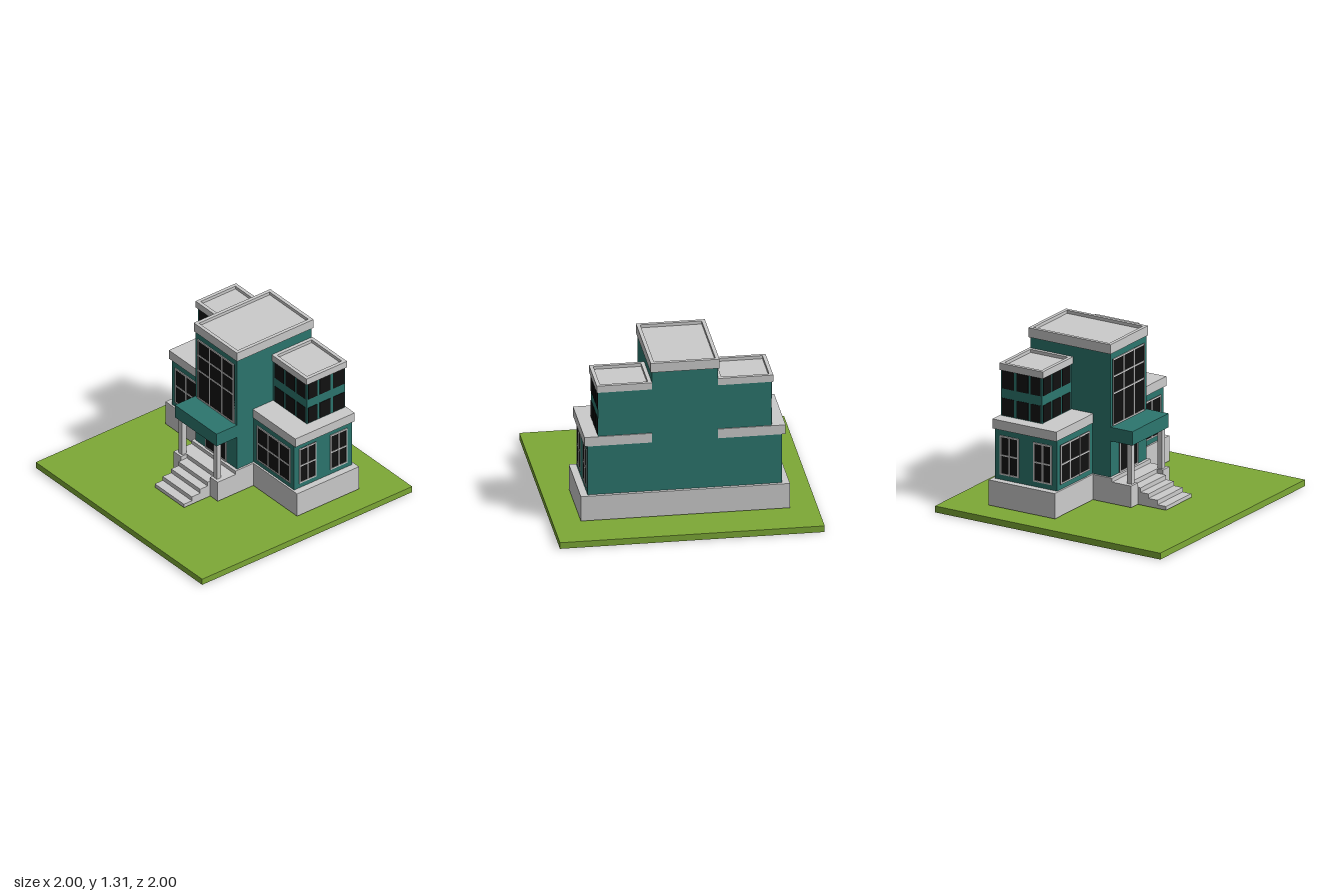
import * as THREE from 'three';

const mat = (color) => new THREE.MeshStandardMaterial({ color });
const STONE = mat(0xcccccc);
const WALL = mat(0x2c766e);
const GLASS = mat(0x111111);
const GRASS = mat(0x7da936);

// Box given by its extents along each axis
function box(parent, name, material, [x0, x1], [y0, y1], [z0, z1]) {
  const mesh = new THREE.Mesh(new THREE.BoxGeometry(x1 - x0, y1 - y0, z1 - z0), material);
  mesh.position.set((x0 + x1) / 2, (y0 + y1) / 2, (z0 + z1) / 2);
  mesh.name = name;
  parent.add(mesh);
  return mesh;
}

// Roof slab with a raised rim around a shallow recess
function parapet(parent, name, [x0, x1], [y0, y1], [z0, z1], rim = 0.028, depth = 0.025) {
  const rect = (target, a, b, c, d) => target.moveTo(a, c).lineTo(b, c).lineTo(b, d).lineTo(a, d).closePath();
  const shape = rect(new THREE.Shape(), x0, x1, -z1, -z0);
  shape.holes.push(rect(new THREE.Path(), x0 + rim, x1 - rim, -z1 + rim, -z0 - rim));
  const geometry = new THREE.ExtrudeGeometry(shape, { depth: y1 - y0, bevelEnabled: false });
  geometry.rotateX(-Math.PI / 2);
  const mesh = new THREE.Mesh(geometry, STONE);
  mesh.position.y = y0;
  mesh.name = name;
  parent.add(mesh);
  box(parent, name + 'Deck', STONE, [x0 + rim, x1 - rim], [y0, y1 - depth], [z0 + rim, z1 - rim]);
}

// Framed window facing local +z, with mullions at the given inner offsets
function framedWindow(parent, name, w, h, verticals, horizontals, position, turn = 0) {
  const group = new THREE.Group();
  group.name = name;
  const t = 0.006;
  box(group, 'pane', GLASS, [-w / 2, w / 2], [-h / 2, h / 2], [-0.01, 0.003]);
  for (const x of [-w / 2 + t, ...verticals, w / 2 - t])
    box(group, 'mullion', STONE, [x - t, x + t], [-h / 2, h / 2], [-0.01, 0.007]);
  for (const y of [-h / 2 + t, ...horizontals, h / 2 - t])
    box(group, 'transom', STONE, [-w / 2, w / 2], [y - t, y + t], [-0.01, 0.0065]);
  group.position.set(...position);
  group.rotation.y = turn;
  parent.add(group);
}

export function createModel() {
  const model = new THREE.Group();
  model.name = 'building';

  // Lawn and stone base
  box(model, 'lawn', GRASS, [-1, 1], [0, 0.05], [-1, 1]);
  box(model, 'plinth', STONE, [-0.79, 0.79], [0.06, 0.26], [-0.66, -0.07]);
  box(model, 'porchPlinth', STONE, [-0.265, 0.265], [0.06, 0.26], [-0.1, 0.1]);

  // Entrance steps
  [0.52, 0.445, 0.365, 0.295, 0.215].forEach((front, i) =>
    box(model, 'step', STONE, [-0.175, 0.175], [0.06, 0.09 + i * 0.035], [0.09, front]));

  // Central tower with its roof, tall window and canopy
  box(model, 'tower', WALL, [-0.25, 0.25], [0.26, 1.24], [-0.635, 0.075]);
  parapet(model, 'towerRoof', [-0.26, 0.26], [1.235, 1.31], [-0.647, 0.082]);
  framedWindow(model, 'towerWindow', 0.44, 0.53, [-0.073, 0.073], [-0.01, 0.125], [0, 0.92, 0.075]);
  box(model, 'canopy', WALL, [-0.25, 0.25], [0.545, 0.655], [0.07, 0.27]);

  // Double door
  framedWindow(model, 'door', 0.255, 0.285, [0], [], [0, 0.4025, 0.075]);

  for (const s of [-1, 1]) {
    const side = s > 0 ? 'left' : 'right';
    const span = (a, b) => (s > 0 ? [a, b] : [-b, -a]);

    // Porch pier, column and door handle
    box(model, side + 'Pier', STONE, span(0.175, 0.265), [0.06, 0.23], [0.09, 0.27]);
    box(model, side + 'Column', STONE, span(0.188, 0.23), [0.23, 0.545], [0.21, 0.25]);
    box(model, side + 'Handle', STONE, span(0.01, 0.02), [0.36, 0.39], [0.075, 0.09]);

    // Lower wing
    box(model, side + 'Wing', WALL, span(0.24, 0.735), [0.26, 0.67], [-0.635, -0.085]);
    box(model, side + 'WingRoof', STONE, span(0.25, 0.76), [0.66, 0.735], [-0.643, -0.077]);
    framedWindow(model, side + 'FrontWindow', 0.4, 0.31, [-0.067, 0.067], [0], [s * 0.495, 0.455, -0.085]);
    for (const z of [-0.213, -0.508])
      framedWindow(model, side + 'SideWindow', 0.165, 0.31, [0], [0], [s * 0.735, 0.455, z], s * Math.PI / 2);

    // Upper storey
    box(model, side + 'UpperStorey', WALL, span(0.24, 0.655), [0.73, 1.11], [-0.635, -0.27]);
    parapet(model, side + 'UpperRoof', span(0.25, 0.667), [1.095, 1.15], [-0.643, -0.257]);

    // Two rows of plain windows on the front and outer side
    for (const rows of [[0.74, 0.875], [0.95, 1.09]]) {
      for (const [a, b] of [[0.27, 0.38], [0.402, 0.513], [0.533, 0.64]])
        box(model, side + 'UpperFrontPane', GLASS, span(a, b), rows, [-0.28, -0.267]);
      for (const z of [[-0.37, -0.283], [-0.495, -0.393], [-0.625, -0.518]])
        box(model, side + 'UpperSidePane', GLASS, span(0.645, 0.658), rows, z);
    }
  }
  return model;
}
